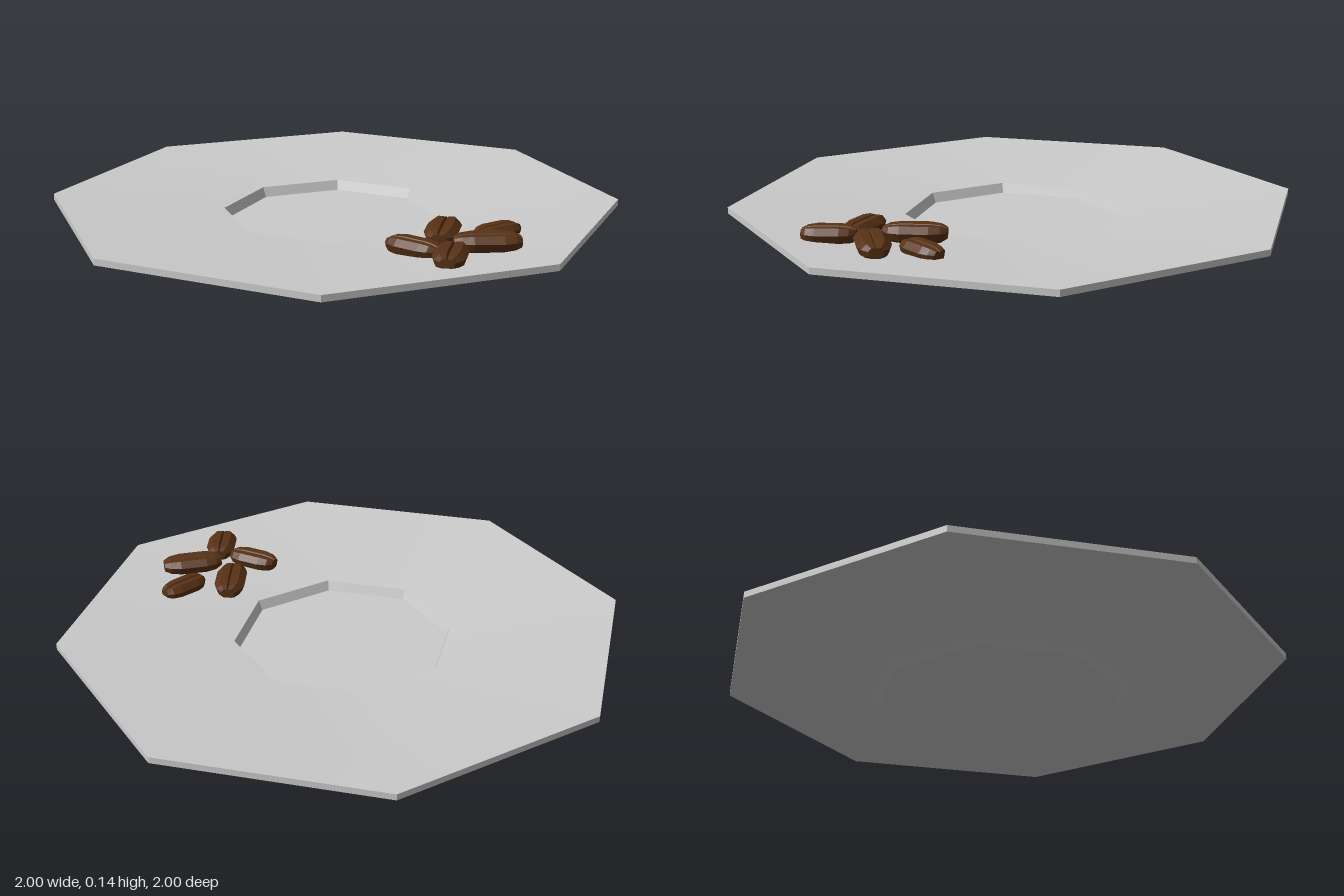
import * as THREE from 'three';
import { toCreasedNormals } from 'three/addons/utils/BufferGeometryUtils.js';

// Faceted bean along x, unit half-length and half-width, height 0..1, crease on top
function beanGeometry() {
  const section = [[0, 0.84], [0.1, 0.98], [0.6, 1], [1, 0.68], [0.82, 0.25], [0.4, 0],
    [-0.4, 0], [-0.82, 0.25], [-1, 0.68], [-0.6, 1], [-0.1, 0.98]];
  const stations = [[-1, 0.45, 0.55], [-0.8, 0.8, 0.85], [-0.45, 1, 1],
    [0.45, 1, 1], [0.8, 0.8, 0.85], [1, 0.45, 0.55]];
  const n = section.length, pos = [], index = [];
  for (const [x, w, h] of stations)
    for (const [z, y] of section) pos.push(x, 0.6 + (y - 0.6) * h, z * w);
  for (let s = 0; s < stations.length - 1; s++)
    for (let i = 0; i < n; i++) {
      const a = s * n + i, b = s * n + (i + 1) % n;
      index.push(a, b, a + n, b, b + n, a + n);
    }
  // End caps, fanned from a centre point
  for (const [x, start, flip] of [[-1, 0, true], [1, (stations.length - 1) * n, false]]) {
    const c = pos.length / 3;
    pos.push(x, 0.55, 0);
    for (let i = 0; i < n; i++) {
      const a = start + i, b = start + (i + 1) % n;
      index.push(c, flip ? b : a, flip ? a : b);
    }
  }
  const g = new THREE.BufferGeometry();
  g.setAttribute('position', new THREE.Float32BufferAttribute(pos, 3));
  g.setIndex(index);
  const flat = g.toNonIndexed();
  flat.computeVertexNormals();
  return flat;
}

export function createModel() {
  const model = new THREE.Group();
  model.name = 'saucerWithBeans';

  // Octagonal saucer: foot, sloping underside, rim, sloping top and cup recess
  const profile = [[0, 0], [0.435, 0], [0.485, 0.028], [1, 0.085], [1, 0.107],
    [0.39, 0.061], [0.375, 0.026], [0, 0.026]].map(([r, y]) => new THREE.Vector2(r, y));
  const saucer = new THREE.Mesh(
    toCreasedNormals(new THREE.LatheGeometry(profile, 8), 0.49),
    new THREE.MeshStandardMaterial({ color: 0xcccccc }));
  saucer.name = 'saucer';
  model.add(saucer);

  // Coffee beans: x, z, turn in degrees, half-length, half-width, top height
  const beans = new THREE.Group();
  beans.name = 'coffeeBeans';
  const geometry = beanGeometry();
  const brown = new THREE.MeshStandardMaterial({ color: 0x583215, flatShading: true });
  [
    [-0.003, 0.525, 34, 0.105, 0.056, 0.131],
    [-0.19, 0.57, -80, 0.092, 0.05, 0.127],
    [0.13, 0.642, -10, 0.086, 0.046, 0.124],
    [-0.19, 0.73, 34, 0.088, 0.054, 0.139],
    [-0.008, 0.72, -40, 0.108, 0.056, 0.14],
  ].forEach(([x, z, turn, length, width, top], i) => {
    const bean = new THREE.Mesh(geometry, brown);
    bean.name = `bean${i + 1}`;
    bean.scale.set(length, 0.062, width);
    bean.position.set(x, top - 0.062, z);
    bean.rotation.y = THREE.MathUtils.degToRad(turn);
    beans.add(bean);
  });
  model.add(beans);
  return model;
}
